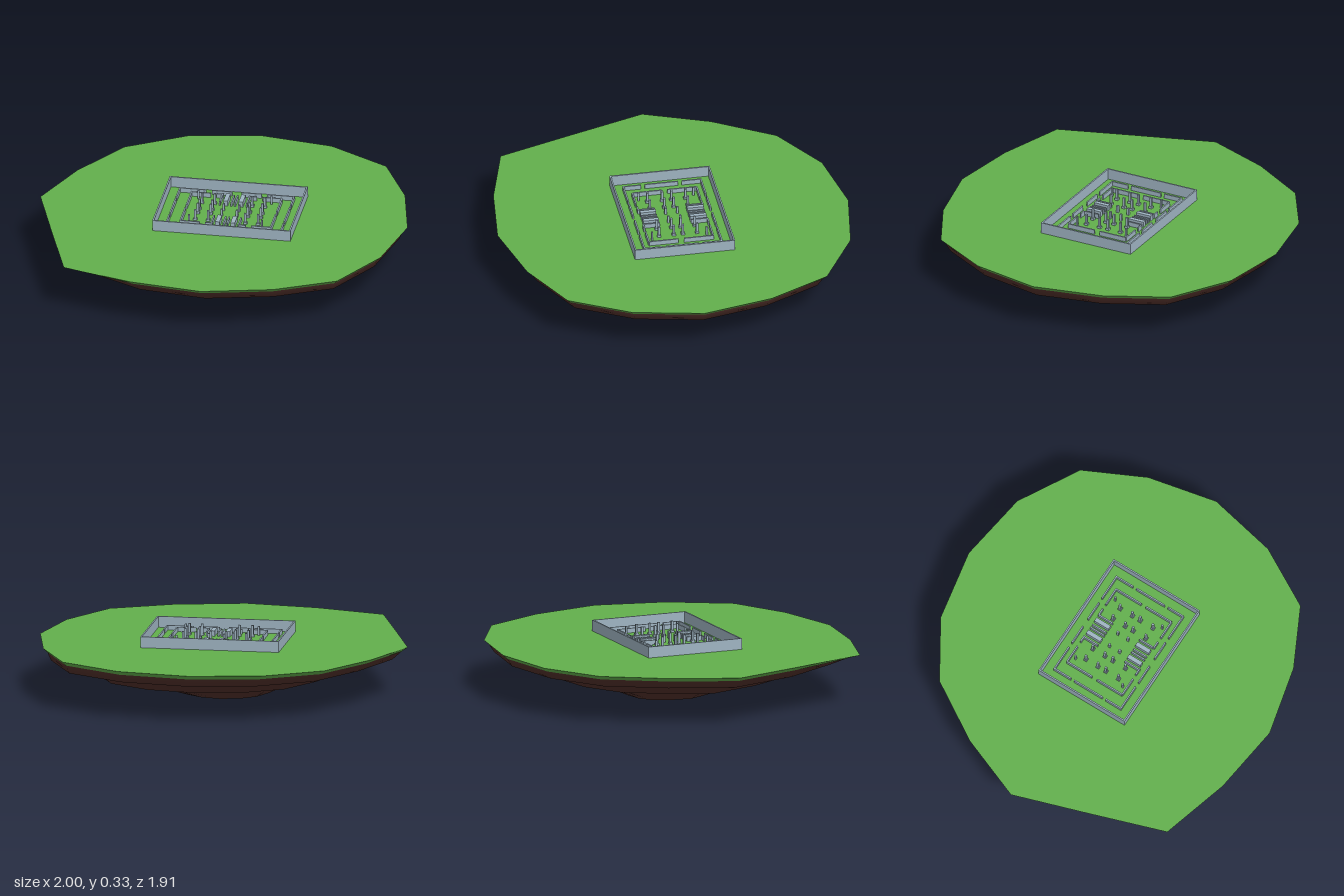
import * as THREE from 'three';

const GROUND = 0.27;

// Irregular island outline as [x, z], running from -x over the back to +x and the front
const OUTLINE = [
  [-1, -0.03], [-0.86, -0.38], [-0.66, -0.7], [-0.35, -0.89], [0.04, -0.96], [0.43, -0.9],
  [0.76, -0.71], [0.92, -0.38], [1, 0], [0.92, 0.38], [0.74, 0.7], [0.42, 0.86],
  [0.04, 0.95], [-0.35, 0.9], [-0.73, 0.79], [-0.865, 0.385],
];
const CORNER = 14;

// Scaled copy of the outline; the sharp front corner is softened lower down
function ring(scale, y, shiftX = 0, soften = 1, tilt = 0) {
  return OUTLINE.map(([x, z], i) => {
    const s = scale * (i === CORNER ? soften : 1);
    return [x * s + shiftX, y + tilt * z * s, z * s];
  });
}

// Joins rings from top to bottom, optionally closing the last one
function loft(rings, closeBottom) {
  const n = OUTLINE.length, positions = rings.flat(2), index = [];
  for (let r = 0; r < rings.length - 1; r++) {
    for (let i = 0; i < n; i++) {
      const j = (i + 1) % n, a = r * n + i, b = r * n + j;
      index.push(a, b, a + n, b, b + n, a + n);
    }
  }
  if (closeBottom) {
    const last = rings[rings.length - 1], base = (rings.length - 1) * n;
    const centre = [0, 1, 2].map(k => last.reduce((sum, p) => sum + p[k], 0) / n);
    positions.push(...centre);
    for (let i = 0; i < n; i++) index.push(base + i, base + (i + 1) % n, rings.length * n);
  }
  const g = new THREE.BufferGeometry();
  g.setAttribute('position', new THREE.Float32BufferAttribute(positions, 3));
  g.setIndex(index);
  g.computeVertexNormals();
  return g;
}

export function createModel() {
  const model = new THREE.Group();
  const grass = new THREE.MeshStandardMaterial({ name: 'grass green', color: 0x62b04c });
  const soil = new THREE.MeshStandardMaterial({ name: 'soil brown', color: 0x55322c });
  const stone = new THREE.MeshStandardMaterial({ name: 'blue grey stone', color: 0x9fb4c2 });

  const add = (parent, name, geometry, material) => {
    const mesh = new THREE.Mesh(geometry, material);
    mesh.name = name;
    parent.add(mesh);
    return mesh;
  };

  // Grass plate
  const top = new THREE.ShapeGeometry(new THREE.Shape(OUTLINE.map(([x, z]) => new THREE.Vector2(x, -z))));
  top.rotateX(-Math.PI / 2).translate(0, GROUND, 0);
  add(model, 'grassTop', top, grass);
  add(model, 'grassRim', loft([ring(1, GROUND), ring(0.972, 0.247, 0.005, 0.96)]), grass);

  // Stepped soil underside, slightly tilted at the lowest point
  add(model, 'soilUnderside', loft([
    ring(0.972, 0.247, 0.005, 0.96),
    ring(0.935, 0.2, 0.02, 0.9),
    ring(0.77, 0.2, 0.03, 0.9),
    ring(0.66, 0.11, 0.035, 0.92),
    ring(0.48, 0.088, 0.015, 0.92),
    ring(0.265, 0.015, -0.03, 0.92, 0.055),
  ], true), soil);

  // Walled enclosure
  const ruin = new THREE.Group();
  ruin.name = 'walledEnclosure';
  model.add(ruin);

  // Box standing on the grass between two x and two z limits
  const block = (name, x0, x1, z0, z1, h) =>
    add(ruin, name, new THREE.BoxGeometry(x1 - x0, h, z1 - z0), stone)
      .position.set((x0 + x1) / 2, GROUND + h / 2, (z0 + z1) / 2);
  const T = 0.004;
  const wallX = (name, x0, x1, z, h) => block(name, x0, x1, z - T, z + T, h);
  const wallZ = (name, x, z0, z1, h) => block(name, x - T, x + T, z0, z1, h);

  // Outer wall
  for (const z of [-0.271, 0.266]) wallX('outerWall', -0.34, 0.41, z, 0.06);
  for (const x of [-0.336, 0.406]) wallZ('outerWall', x, -0.275, 0.27, 0.06);

  // Middle wall, broken by doorways
  for (const z of [-0.216, 0.206]) {
    for (const [a, b] of [[-0.275, -0.13], [-0.1, 0.01], [0.06, 0.17], [0.2, 0.345]]) {
      wallX('middleWall', a, b, z, 0.025);
    }
  }
  for (const x of [-0.275, 0.345]) {
    for (const [a, b] of [[-0.22, -0.11], [-0.09, 0.09], [0.11, 0.21]]) {
      wallZ('middleWall', x, a, b, 0.025);
    }
  }

  // Inner wall
  for (const z of [-0.18, 0.17]) {
    for (const [a, b] of [[-0.205, -0.1], [-0.07, -0.03], [0.11, 0.15], [0.18, 0.285]]) {
      wallX('innerWall', a, b, z, 0.025);
    }
  }
  for (const x of [-0.205, 0.285]) {
    for (const [a, b] of [[-0.18, -0.02], [0.01, 0.17]]) wallZ('innerWall', x, a, b, 0.025);
  }

  // Central passages with raised slabs and small posts
  for (const x of [-0.005, 0.078]) {
    for (const [a, b] of [[-0.18, -0.09], [0.08, 0.165]]) {
      block('raisedSlab', x - 0.012, x + 0.012, a, b, 0.03);
      for (const side of [-0.032, 0.032]) wallZ('passageWall', x + side, a, b, 0.025);
    }
    for (const z of [-0.037, 0.027]) block('smallPost', x - 0.006, x + 0.006, z - 0.006, z + 0.006, 0.04);
  }

  // Columns on square feet
  for (const x of [-0.135, -0.065, 0.137, 0.207]) {
    for (const z of [-0.105, -0.028, 0.022, 0.102]) {
      block('columnFoot', x - 0.01, x + 0.01, z - 0.01, z + 0.01, 0.012);
      block('column', x - 0.006, x + 0.006, z - 0.006, z + 0.006, 0.062);
    }
  }
  for (const x of [-0.162, 0.234]) {
    for (const z of [-0.153, 0.145]) block('cornerPost', x - 0.005, x + 0.005, z - 0.005, z + 0.005, 0.05);
  }
  return model;
}
